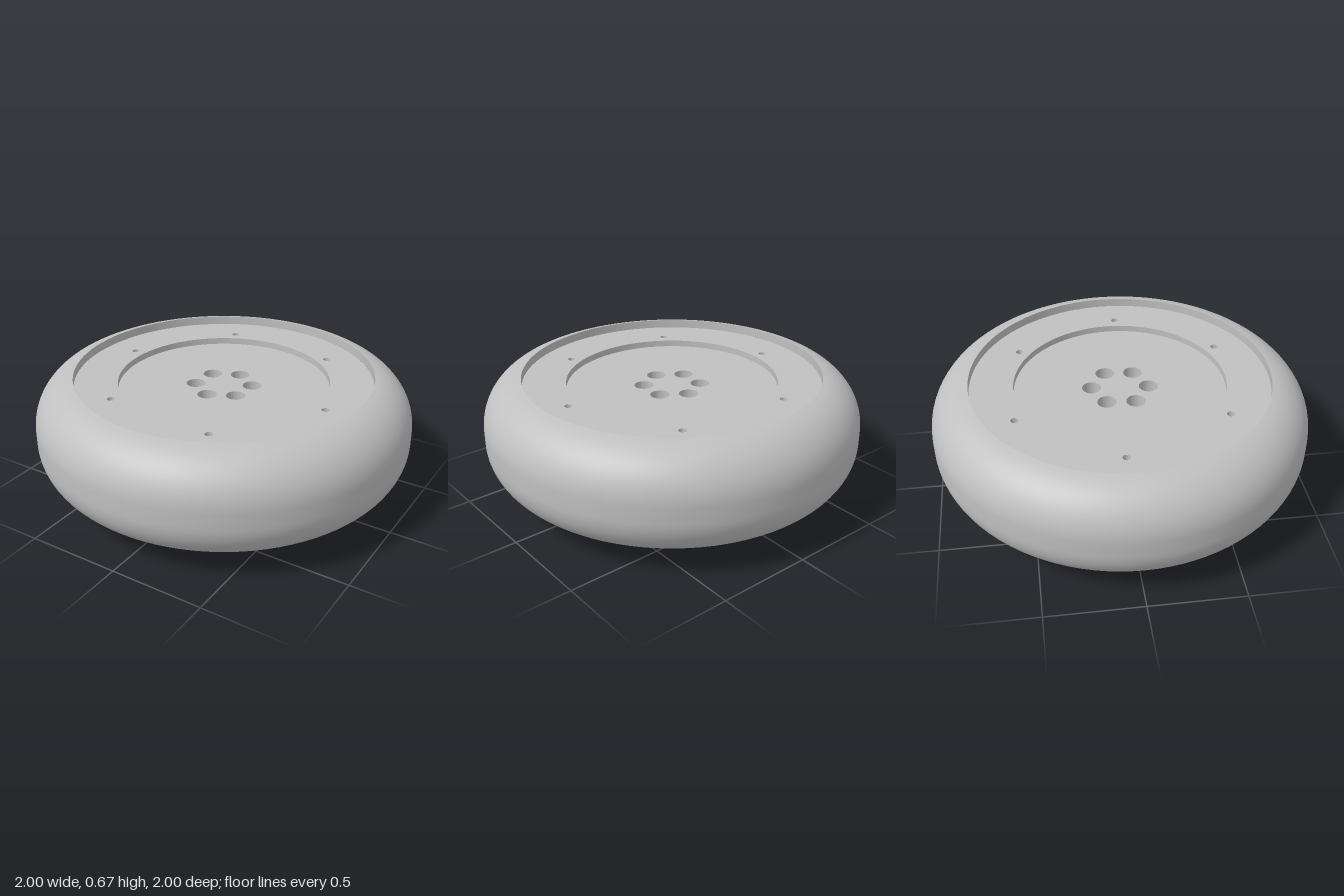
import * as THREE from 'three';
import { toCreasedNormals } from 'three/addons/utils/BufferGeometryUtils.js';

const TAU = Math.PI * 2;
const rubberGray = new THREE.MeshStandardMaterial({ color: 0xc0c0c0 });
rubberGray.name = 'plain gray';

// Evenly spaced holes on a circle; angles in degrees measured from +x toward +z
const holeRing = (count, circle, radius, start) =>
  Array.from({ length: count }, (_, i) => {
    const a = THREE.MathUtils.degToRad(start) + (i * TAU) / count;
    return { x: circle * Math.cos(a), z: circle * Math.sin(a), radius };
  });

// Horizontal disc from y0 to y1 with round holes
function drilledDisc(name, radius, y0, y1, holes) {
  const shape = new THREE.Shape().absarc(0, 0, radius, 0, TAU, false);
  for (const h of holes) {
    shape.holes.push(new THREE.Path().absarc(h.x, -h.z, h.radius, 0, TAU, true));
  }
  const geometry = new THREE.ExtrudeGeometry(shape, {
    depth: y1 - y0, bevelEnabled: false, curveSegments: 72,
  });
  geometry.rotateX(-Math.PI / 2).translate(0, y0, 0);
  const mesh = new THREE.Mesh(toCreasedNormals(geometry, 0.5), rubberGray);
  mesh.name = name;
  return mesh;
}

// Rounded tread with an inner lip on both sides
function makeTire() {
  const points = [new THREE.Vector2(0.79, 0.15)];
  const steps = 18, r = 0.25, start = Math.asin(0.04 / r);
  for (const [cy, from, to] of [[0.35, start - Math.PI / 2, 0], [0.42, 0, Math.PI / 2 - start]]) {
    for (let i = 0; i <= steps; i++) {
      const a = from + ((to - from) * i) / steps;
      points.push(new THREE.Vector2(0.75 + r * Math.cos(a), cy + r * Math.sin(a)));
    }
  }
  points.push(new THREE.Vector2(0.79, 0.62));
  const mesh = new THREE.Mesh(toCreasedNormals(new THREE.LatheGeometry(points, 96), 0.5), rubberGray);
  mesh.name = 'tire';
  return mesh;
}

export function createModel() {
  const model = new THREE.Group();
  model.name = 'wheel';

  const rimHoles = holeRing(6, 0.623, 0.02, 4.5);
  const counterbores = holeRing(6, 0.15, 0.05, 34);
  const boltHoles = holeRing(6, 0.15, 0.025, 34);
  const pinHoles = holeRing(3, 0.15, 0.022, 64);
  const recess = { x: 0, z: 0, radius: 0.56 };

  model.add(
    makeTire(),
    // Rim ring around the recessed centre
    drilledDisc('rimRing', 0.79, 0.15, 0.62, [recess, ...rimHoles]),
    // Centre plate: wide bores above, narrow bolt holes below
    drilledDisc('centerPlateUpper', 0.56, 0.3, 0.585, counterbores),
    drilledDisc('centerPlateLower', 0.56, 0.185, 0.3, boltHoles),
    // Stepped hub below, with blind pin holes between the bolts
    drilledDisc('hubShoulder', 0.4, 0.065, 0.185, [...boltHoles, ...pinHoles]),
    drilledDisc('hubBoss', 0.327, 0, 0.065, [...boltHoles, ...pinHoles]),
  );
  return model;
}
